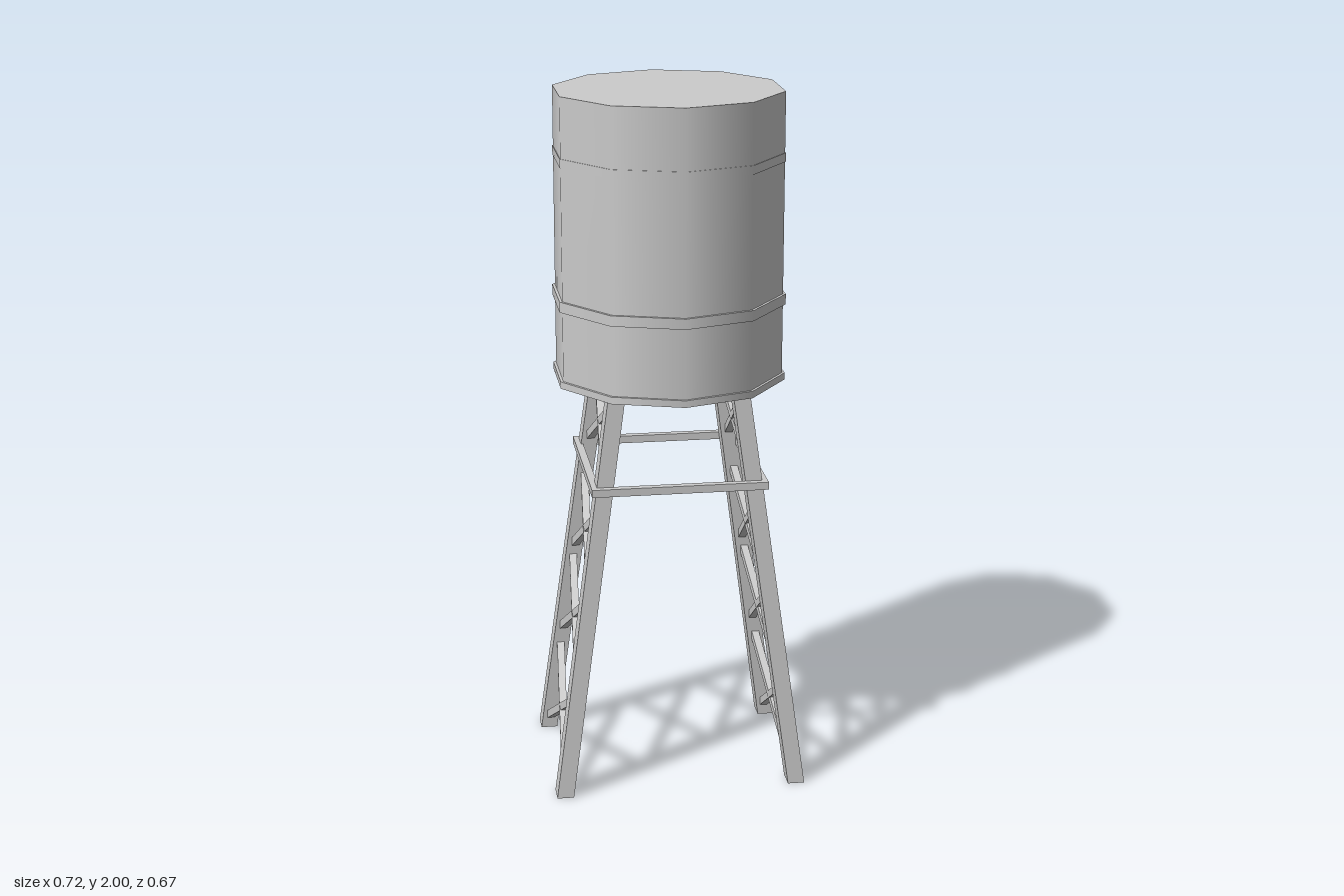
import * as THREE from 'three';

const SIDES = 10;
const LEG_TOP = 1.185;
const material = new THREE.MeshStandardMaterial({ color: 0xcccccc });

// Centre line of a leg at height y (positive x, positive z corner)
const legX = (y) => 0.338 - 0.138 * y;
const legZ = (y) => 0.245 - 0.048 * y;

function addMesh(parent, name, geometry) {
  const mesh = new THREE.Mesh(geometry, material);
  mesh.name = name;
  parent.add(mesh);
  return mesh;
}

// Ten-sided drum between two heights
function addDrum(parent, name, radius, y0, y1) {
  const mesh = addMesh(parent, name, new THREE.CylinderGeometry(radius, radius, y1 - y0, SIDES));
  mesh.position.y = (y0 + y1) / 2;
}

// Leaning leg with level ends: a box sheared along the leg's centre line
function legGeometry(sx, sz) {
  const geometry = new THREE.BoxGeometry(0.048, LEG_TOP, 0.06);
  geometry.translate(0, LEG_TOP / 2, 0);
  const p = geometry.attributes.position;
  for (let i = 0; i < p.count; i++) {
    const y = p.getY(i);
    p.setX(i, p.getX(i) + sx * legX(y));
    p.setZ(i, p.getZ(i) + sz * legZ(y));
  }
  geometry.computeVertexNormals();
  return geometry;
}

// Square bar from a to b
function addBar(parent, name, a, b, size) {
  const bar = addMesh(parent, name, new THREE.BoxGeometry(size, size, a.distanceTo(b)));
  bar.position.copy(a).add(b).multiplyScalar(0.5);
  bar.lookAt(b);
}

export function createModel() {
  const model = new THREE.Group();
  model.name = 'waterTower';

  // Tank and its hoops
  const tank = new THREE.Group();
  tank.name = 'tank';
  model.add(tank);
  addDrum(tank, 'tankBody', 0.327, 1.182, 2);
  addDrum(tank, 'baseHoop', 0.335, 1.18, 1.2);
  addDrum(tank, 'lowerHoop', 0.335, 1.4, 1.43);
  addDrum(tank, 'upperHoop', 0.329, 1.805, 1.83);

  // Four splayed legs
  for (const sx of [-1, 1]) {
    for (const sz of [-1, 1]) addMesh(model, 'leg', legGeometry(sx, sz));
  }

  // Crossed braces between the legs on the left and right sides
  const bays = [[0.04, 0.278], [0.34, 0.567], [0.61, 0.827], [0.95, 1.137]];
  for (const sx of [-1, 1]) {
    for (const [low, high] of bays) {
      for (const sz of [-1, 1]) {
        addBar(model, 'brace',
          new THREE.Vector3(sx * legX(low), low, sz * (legZ(low) - 0.022)),
          new THREE.Vector3(sx * legX(high), high, -sz * (legZ(high) - 0.022)), 0.022);
      }
    }
  }

  // Square frame wrapped around the legs
  const outer = 0.25, inner = 0.228;
  const frameShape = new THREE.Shape([[-1, -1], [1, -1], [1, 1], [-1, 1]]
    .map(([x, y]) => new THREE.Vector2(x * outer, y * outer)));
  frameShape.holes.push(new THREE.Path([[-1, -1], [-1, 1], [1, 1], [1, -1]]
    .map(([x, y]) => new THREE.Vector2(x * inner, y * inner))));
  const frame = addMesh(model, 'legFrame',
    new THREE.ExtrudeGeometry(frameShape, { depth: 0.022, bevelEnabled: false }));
  frame.rotation.x = -Math.PI / 2;
  frame.position.y = 0.903;

  return model;
}
